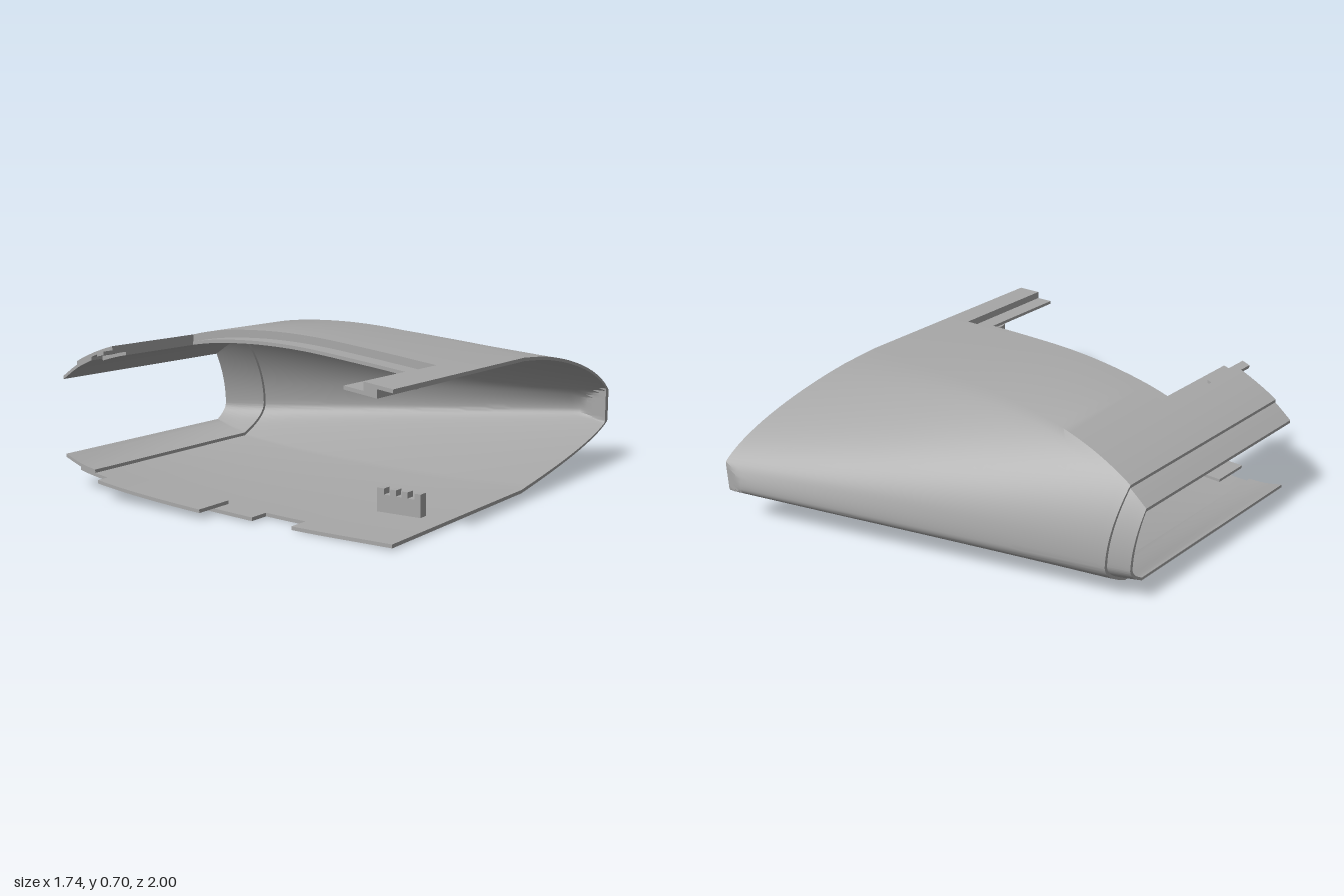
import * as THREE from 'three';
import { toCreasedNormals } from 'three/addons/utils/BufferGeometryUtils.js';

// Height of the upper and lower skin along x
const XS = [-0.87, -0.78, -0.69, -0.56, -0.4, -0.15, 0.1, 0.4, 0.87];
const spline = (values) => {
  const s = new THREE.CubicInterpolant(XS, values, 1);
  return (x) => s.evaluate(x)[0];
};
const topY = spline([0.512, 0.57, 0.61, 0.652, 0.682, 0.698, 0.692, 0.662, 0.603]);
const bottomY = spline([0.115, 0.083, 0.066, 0.05, 0.034, 0.018, 0.008, 0.001, 0.008]);
const noseZ = (x) => -1 - 0.484 * (x - 0.77);
const BEND = -0.11; // z where the straight sides turn into the nose

// Section coordinate of a depth z on the straight sides (negative for the lower side)
const V = (z) => z - BEND + 1;

// Point on the shell at x and section coordinate v, moved inward by d
function shellPoint(x, v, d) {
  const upper = v >= 0;
  const s = Math.abs(v);
  const mid = 0.235 + 0.012 * x;
  const side = upper ? topY(x) - d : bottomY(x) + d;
  if (s >= 1) return [x, side, BEND + s - 1];
  const p = 1 + (upper ? 0.25 + 0.29 * x : 0) * Math.min(1, s * 4);
  const t = Math.pow(1 - s * s, 1 / p);
  const z = BEND + (noseZ(x) + d - BEND) * t;
  return [x, mid + s * (side - mid), Math.max(z, -1 + 2 * d)]; // flat tip
}

// Subdivide between break points
function steps(breaks, size) {
  const out = [breaks[0]];
  for (let i = 1; i < breaks.length; i++) {
    const a = breaks[i - 1], b = breaks[i];
    const n = Math.max(1, Math.ceil((b - a) / size - 1e-6));
    for (let k = 1; k <= n; k++) out.push(a + ((b - a) * k) / n);
  }
  return out;
}

// Solid sheet following the shell between inward depths d0 and d1, with cut-outs
function sheet(us, vs, d0, d1, keep = () => true) {
  const pos = [];
  const quad = (a, b, c, d) => pos.push(...a, ...b, ...c, ...a, ...c, ...d);
  const has = (i, j) => i >= 0 && j >= 0 && i < us.length - 1 && j < vs.length - 1 &&
    keep((us[i] + us[i + 1]) / 2, (vs[j] + vs[j + 1]) / 2);
  const at = (i, j, d) => shellPoint(us[i], vs[j], d);
  for (let i = 0; i < us.length - 1; i++) {
    for (let j = 0; j < vs.length - 1; j++) {
      if (!has(i, j)) continue;
      const c = [[i, j], [i, j + 1], [i + 1, j + 1], [i + 1, j]];
      const o = c.map(([a, b]) => at(a, b, d0));
      const n = c.map(([a, b]) => at(a, b, d1));
      quad(...o);
      quad(n[3], n[2], n[1], n[0]);
      // Walls wherever the neighbouring cell is missing
      [[i - 1, j], [i, j + 1], [i + 1, j], [i, j - 1]].forEach(([a, b], k) => {
        const m = (k + 1) % 4;
        if (!has(a, b)) quad(o[m], o[k], n[k], n[m]);
      });
    }
  }
  const g = new THREE.BufferGeometry();
  g.setAttribute('position', new THREE.Float32BufferAttribute(pos, 3));
  return toCreasedNormals(g, 0.5);
}

export function createModel() {
  const group = new THREE.Group();
  const grey = new THREE.MeshStandardMaterial({ color: 0xa8a8a8 });
  grey.name = 'grey';
  const add = (name, geometry) => {
    const mesh = new THREE.Mesh(geometry, grey);
    mesh.name = name;
    group.add(mesh);
    return mesh;
  };

  // Section stations: straight sides in few steps, nose in fine ones
  const nose = steps([-1, 0, 1], 0.04);
  const front = V(0.91);

  // Main skin with the hatch opening above and a notch below
  add('outerSkin', sheet(
    steps([-0.78, -0.56, 0.2, 0.4, 0.74, 0.87], 0.04),
    [-front, -V(0.82), ...nose, V(0.4), front], 0, 0.015,
    (x, v) => !(v > V(0.4) && x > -0.56 && x < 0.74) &&
      !(v < -V(0.82) && x > 0.2 && x < 0.4)));

  // Inset joining lip at the narrow end
  add('joiningLip', sheet(steps([-0.87, -0.78, -0.69], 0.03),
    [-front, ...nose, front], 0.015, 0.03));

  // Recessed frame around the hatch opening
  const frameX = steps([-0.62, -0.56, -0.48, 0.65, 0.74, 0.8], 0.04);
  const frameV = [0.35, 0.4, 0.49, 0.91].map(V);
  add('hatchFrame', sheet(frameX, frameV, 0.015, 0.035,
    (x, v) => x < -0.56 || x > 0.74 || v < V(0.4)));
  add('hatchLedge', sheet(frameX, frameV, 0.035, 0.05,
    (x, v) => x < -0.48 || x > 0.65 || v < V(0.49)));

  // Front locating tabs
  add('upperTab', sheet([-0.56, -0.52], [V(0.73), V(1)], 0.02, 0.035));
  add('lowerTab', sheet(steps([-0.58, 0], 0.04), [-V(1), -V(0.82)], 0.015, 0.03));

  // Toothed bracket on the floor
  const outline = new THREE.Shape();
  outline.moveTo(0.545, 0.008);
  for (const [a, b] of [[0.545, 0.58], [0.61, 0.637], [0.665, 0.693], [0.725, 0.755]]) {
    if (a > 0.55) outline.lineTo(a, 0.092);
    outline.lineTo(a, 0.117);
    outline.lineTo(b, 0.117);
    if (b < 0.75) outline.lineTo(b, 0.092);
  }
  outline.lineTo(0.755, 0.008);
  const bracket = add('toothedBracket',
    new THREE.ExtrudeGeometry(outline, { depth: 0.04, bevelEnabled: false }));
  bracket.position.z = 0.49;

  // Round boss under the hatch ledge
  const boss = add('ledgeBoss', new THREE.CylinderGeometry(0.05, 0.05, 0.04, 32));
  boss.position.set(0.688, 0.561, 0.54);

  return group;
}
